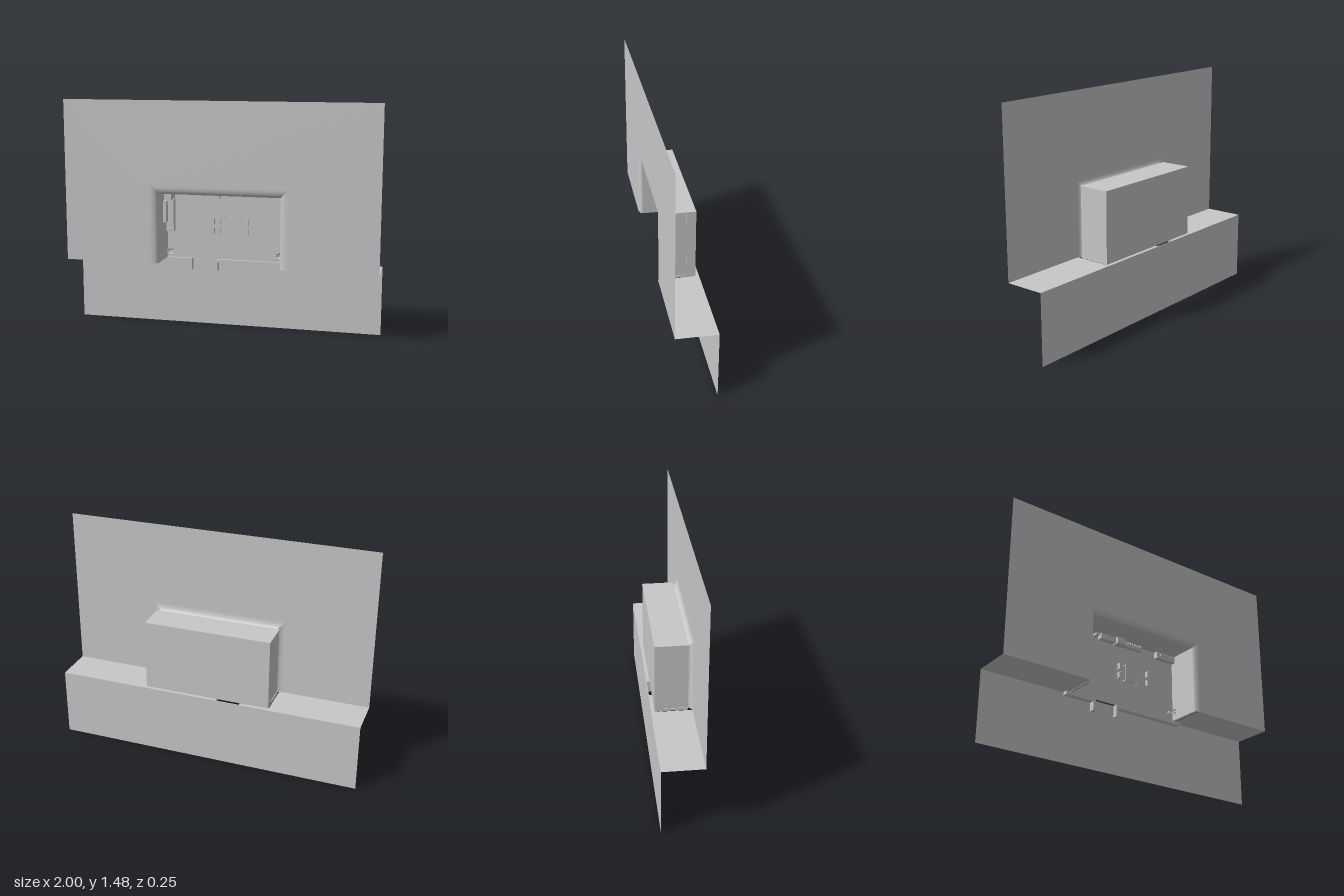
import * as THREE from 'three';

const grey = new THREE.MeshStandardMaterial({ color: 0xc8c8c8, side: THREE.DoubleSide });
grey.name = 'plain grey';

const FLOOR = -0.1, FRONT = 0.127, BACK = -0.127, SILL = 0.444;

function add(parent, name, geometry, x = 0, y = 0, z = 0) {
  const m = new THREE.Mesh(geometry, grey);
  m.name = name;
  m.position.set(x, y, z);
  parent.add(m);
  return m;
}

// box given by its limits on each axis
function box(parent, name, x0, x1, y0, y1, z0, z1) {
  return add(parent, name, new THREE.BoxGeometry(x1 - x0, y1 - y0, z1 - z0),
    (x0 + x1) / 2, (y0 + y1) / 2, (z0 + z1) / 2);
}

function group(parent, name) {
  const g = new THREE.Group();
  g.name = name;
  parent.add(g);
  return g;
}

// smooth strip between two end points that depend on the profile angle
function strip(from, to, steps = 10) {
  const pos = [], index = [];
  for (let i = 0; i <= steps; i++) {
    const t = (i / steps) * Math.PI / 2;
    const o = 0.05 * (1 - Math.cos(t)), z = 0.1 + 0.027 * Math.sin(t);
    pos.push(...from(o), z, ...to(o), z);
    if (i < steps) {
      const a = i * 2;
      index.push(a, a + 1, a + 2, a + 1, a + 3, a + 2);
    }
  }
  const g = new THREE.BufferGeometry();
  g.setAttribute('position', new THREE.Float32BufferAttribute(pos, 3));
  g.setIndex(index);
  g.computeVertexNormals();
  return g;
}

function chair(parent, x, y, side) {
  const g = group(parent, 'chair');
  box(g, 'chairSeat', x - 0.02, x + 0.02, y - 0.02, y + 0.02, FLOOR + 0.018, FLOOR + 0.022);
  const b = x + side * 0.019;
  box(g, 'chairBack', b - 0.002, b + 0.002, y - 0.02, y + 0.02, FLOOR + 0.022, FLOOR + 0.044);
  for (const sx of [-1, 1]) for (const sy of [-1, 1]) {
    const lx = x + sx * 0.017, ly = y + sy * 0.017;
    box(g, 'chairLeg', lx - 0.002, lx + 0.002, ly - 0.002, ly + 0.002, FLOOR, FLOOR + 0.018);
  }
}

function plant(parent, x, y) {
  const g = group(parent, 'plant');
  g.position.set(x, y, FLOOR);
  const pot = new THREE.CylinderGeometry(0.015, 0.011, 0.026, 12).rotateX(Math.PI / 2);
  add(g, 'plantPot', pot, 0, 0, 0.013);
  for (let i = 0; i < 8; i++) {
    const leaf = new THREE.SphereGeometry(0.012, 8, 5).scale(1, 0.5, 0.25);
    leaf.rotateY(-0.6).translate(0.017, 0, 0.036 + (i % 2) * 0.01).rotateZ(i * Math.PI / 4);
    add(g, 'leaf', leaf);
  }
}

export function createModel() {
  const model = new THREE.Group();
  model.name = 'roomInWall';

  // facade sheet with the opening, stepped ledge and lower sheet
  const s = new THREE.Shape();
  [[-1, SILL], [-0.44, SILL], [-0.44, 0.94], [0.44, 0.94], [0.44, SILL], [1, SILL], [1, 1.475], [-1, 1.475]]
    .forEach(([x, y], i) => (i ? s.lineTo(x, y) : s.moveTo(x, y)));
  add(model, 'upperWall', new THREE.ShapeGeometry(s), 0, 0, FRONT);
  add(model, 'lowerWall', new THREE.PlaneGeometry(2, SILL), 0, SILL / 2, BACK);
  for (const side of [-1, 1]) {
    add(model, 'ledge', new THREE.PlaneGeometry(0.585, FRONT - BACK).rotateX(-Math.PI / 2),
      side * 0.7075, SILL, 0);
  }

  // rounded trim rolling from the facade into the room
  const trim = group(model, 'openingTrim');
  for (const side of [-1, 1]) {
    add(trim, 'sideTrim', strip(
      o => [side * (0.39 + o), side > 0 ? SILL : 0.89 + o],
      o => [side * (0.39 + o), side > 0 ? 0.89 + o : SILL]));
  }
  add(trim, 'topTrim', strip(o => [0.39 + o, 0.89 + o], o => [-0.39 - o, 0.89 + o]));

  // room shell
  const room = group(model, 'roomShell');
  box(room, 'floor', -0.412, 0.412, SILL, 0.9, FLOOR - 0.004, FLOOR);
  box(room, 'topWall', -0.412, 0.412, 0.892, 0.9, FLOOR, 0.1);
  for (const side of [-1, 1]) {
    const w = (name, a, b, y0, y1, z0, z1) =>
      box(room, name, Math.min(side * a, side * b), Math.max(side * a, side * b), y0, y1, z0, z1);
    w('sideWall', 0.39, 0.408, 0.46, 0.892, -0.047, 0.1);
    w('sideWallBase', 0.39, 0.412, 0.46, 0.892, FLOOR, -0.047);
    w('wallEnd', 0.39, 0.412, SILL, 0.46, FLOOR, 0.1);
  }

  // low kerb with a recessed entry
  const kerb = group(model, 'entryKerb');
  box(kerb, 'leftKerb', -0.44, -0.225, 0.422, 0.443, -0.125, -0.088);
  box(kerb, 'rightKerb', -0.07, 0.44, 0.422, 0.443, -0.125, -0.088);
  box(kerb, 'entrySide', -0.245, -0.225, 0.365, 0.422, -0.125, -0.088);
  box(kerb, 'entrySide', -0.07, -0.053, 0.365, 0.422, -0.125, -0.088);
  box(kerb, 'entryFloor', -0.225, -0.07, 0.365, SILL, -0.126, -0.122);

  // table and chairs
  const dining = group(model, 'diningSet');
  box(dining, 'tableTop', -0.02, 0.1, 0.61, 0.728, -0.071, -0.066);
  for (const x of [-0.012, 0.092]) for (const y of [0.618, 0.72]) {
    box(dining, 'tableLeg', x - 0.004, x + 0.004, y - 0.004, y + 0.004, FLOOR, -0.071);
  }
  for (const y of [0.638, 0.698]) {
    chair(dining, -0.05, y, -1);
    chair(dining, 0.132, y, 1);
  }

  // kitchen along the side wall
  const kitchen = group(model, 'kitchen');
  box(kitchen, 'fridge', -0.388, -0.34, 0.833, 0.89, FLOOR, -0.015);
  box(kitchen, 'counter', -0.388, -0.338, 0.62, 0.828, FLOOR, -0.06);
  box(kitchen, 'wallCupboard', -0.388, -0.368, 0.69, 0.828, -0.03, 0.01);
  for (const y of [0.7, 0.73, 0.76, 0.79]) {
    box(kitchen, 'jar', -0.358, -0.35, y, y + 0.008, -0.06, -0.05);
  }
  for (const y of [0.637, 0.665]) {
    add(kitchen, 'hob', new THREE.TorusGeometry(0.009, 0.002, 6, 16), -0.36, y, -0.06);
  }

  // furniture along the top wall
  const top = group(model, 'wallFurniture');
  add(top, 'stool', new THREE.CylinderGeometry(0.014, 0.014, 0.035, 16).rotateX(Math.PI / 2),
    -0.235, 0.874, FLOOR + 0.0175);
  box(top, 'sideboard', -0.21, -0.095, 0.853, 0.891, FLOOR, -0.065);
  box(top, 'cabinet', -0.093, -0.033, 0.848, 0.891, FLOOR, -0.045);
  box(top, 'shelf', -0.03, 0.12, 0.855, 0.891, FLOOR, -0.07);
  for (let i = 0; i < 6; i++) {
    const x = 0.0 + i * 0.018;
    box(top, 'book', x, x + 0.012, 0.87, 0.884, -0.07, -0.058);
  }
  box(top, 'desk', 0.24, 0.388, 0.846, 0.89, FLOOR, -0.065);
  add(top, 'deskBowl', new THREE.CylinderGeometry(0.013, 0.009, 0.014, 16).rotateX(Math.PI / 2),
    0.355, 0.87, -0.058);
  box(top, 'deskTray', 0.265, 0.33, 0.864, 0.876, -0.065, -0.056);

  // plants by the entry
  plant(model, -0.36, 0.49);
  plant(model, 0.357, 0.49);

  return model;
}
